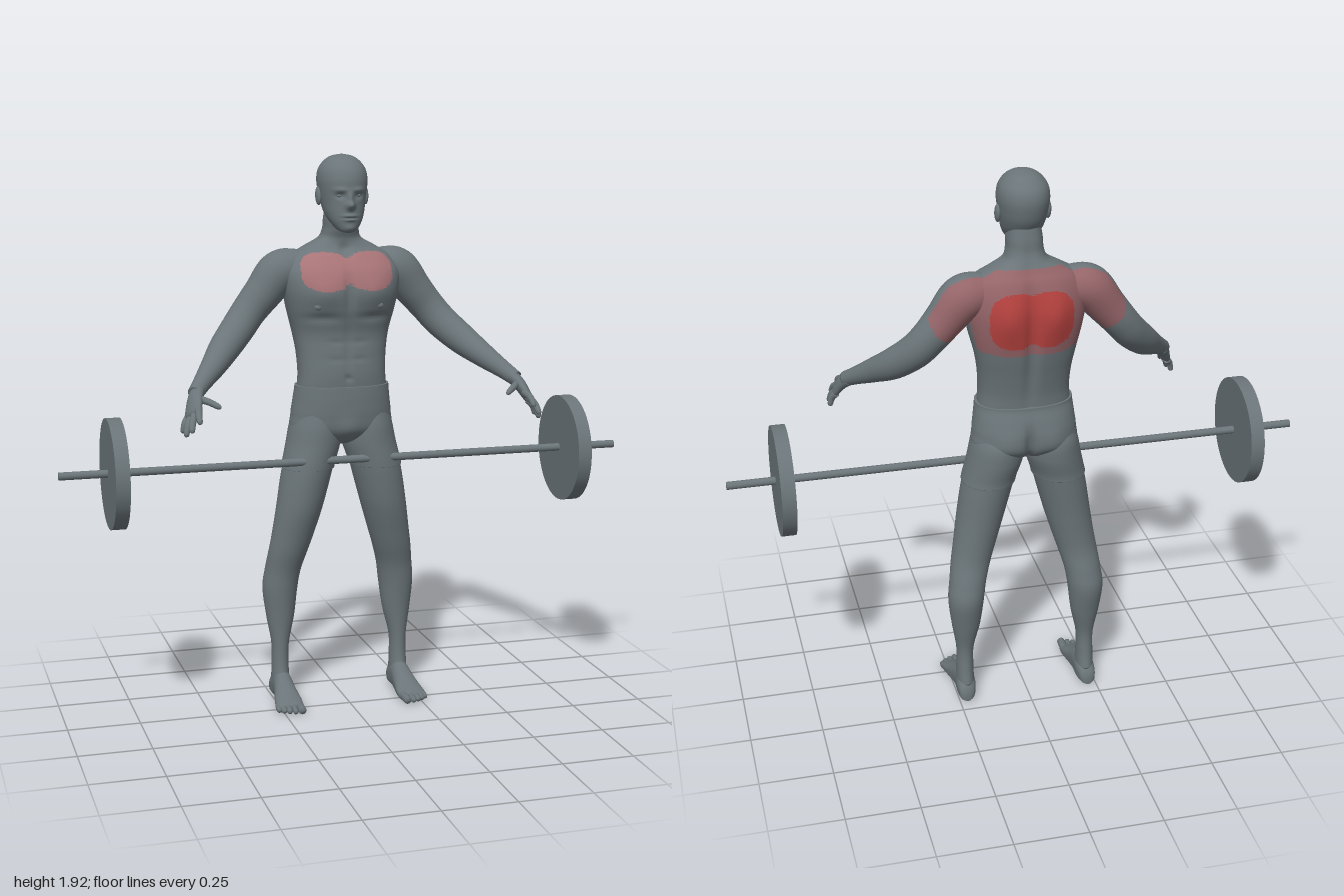
import * as THREE from 'three';

const mat = (name, color) => Object.assign(new THREE.MeshStandardMaterial({ color }), { name });
const grey = mat('slate grey', 0x6b7579);
const pink = mat('chest pink', 0xa87477);
const rose = mat('muted rose', 0x946468);
const red = mat('muscle red', 0xb5423f);
const V = (x, y, z) => new THREE.Vector3(x, y, z);
const TAU = Math.PI * 2;

// Catmull-Rom through rows of numbers, t from 0 to 1
function sample(keys, t) {
  const n = keys.length - 1, f = t * n, i = Math.min(Math.floor(f), n - 1), u = f - i;
  const k = j => keys[Math.max(0, Math.min(n, j))];
  return keys[0].map((_, c) => {
    const a = k(i - 1)[c], b = k(i)[c], d = k(i + 1)[c], e = k(i + 2)[c];
    return b + 0.5 * u * (d - a + u * (2 * a - 5 * b + 4 * d - e + u * (3 * (b - d) + e - a)));
  });
}

// closed skin over equal rings, with end caps
function skin(rings) {
  const m = rings[0].length, n = rings.length, pos = [], idx = [];
  rings.forEach(r => r.forEach(p => pos.push(p.x, p.y, p.z)));
  for (let i = 0; i < n - 1; i++) for (let j = 0; j < m; j++) {
    const a = i * m + j, b = i * m + (j + 1) % m;
    idx.push(a, b, a + m, b, b + m, a + m);
  }
  [rings[0], rings[n - 1]].forEach((r, end) => {
    const c = r.reduce((s, p) => s.add(p), V(0, 0, 0)).divideScalar(m);
    const ci = pos.length / 3, base = end ? (n - 1) * m : 0;
    pos.push(c.x, c.y, c.z);
    for (let j = 0; j < m; j++) {
      const a = base + j, b = base + (j + 1) % m;
      end ? idx.push(ci, a, b) : idx.push(ci, b, a);
    }
  });
  const g = new THREE.BufferGeometry();
  g.setAttribute('position', new THREE.Float32BufferAttribute(pos, 3));
  g.setIndex(idx);
  g.computeVertexNormals();
  return g;
}

// upright loft; rows are [y, xMin, xMax, zFront, zBack]; bumps are [x, y, sizeX, sizeY, height], mirrored in x
function loft(rows, { m = 48, n = 60, e = 1, front = [], back = [] } = {}) {
  const pw = v => Math.sign(v) * Math.abs(v) ** e, rings = [];
  for (let i = 0; i <= n; i++) {
    const [y, x0, x1, zf, zb] = sample(rows, i / n), ring = [];
    for (let j = 0; j < m; j++) {
      const a = j / m * TAU, s = -Math.sin(a);
      const x = (x0 + x1) / 2 + (x1 - x0) / 2 * pw(Math.cos(a));
      let z = (zf + zb) / 2 + (zf - zb) / 2 * pw(s);
      for (const [bx, by, sx, sy, h] of s > 0 ? front : back)
        z += Math.sign(s) * Math.min(1, Math.abs(s) * 2) * h * Math.exp(-(((Math.abs(x) - bx) / sx) ** 2) - ((y - by) / sy) ** 2);
      ring.push(V(x, y, z));
    }
    rings.push(ring);
  }
  return skin(rings);
}

// limb along a path; rows are [x, y, z, width radius, thickness radius]
function limb(rows, side, { m = 16, n = 24, ref = [0, 0, 1], round = true } = {}) {
  const rings = [], at = t => { const r = sample(rows, t); return V(r[0] * side, r[1], r[2]); };
  for (let i = 0; i <= n; i++) {
    const t = i / n, r = sample(rows, t), p = at(t);
    const T = at(Math.min(1, t + 0.01)).sub(at(Math.max(0, t - 0.01))).normalize();
    const A = V(ref[0] * side, ref[1], ref[2]);
    A.addScaledVector(T, -A.dot(T)).normalize();
    const B = T.clone().cross(A), k = round ? Math.sqrt(Math.max(0.02, 1 - Math.max(0, (t - 0.8) / 0.2) ** 2)) : 1;
    rings.push(Array.from({ length: m }, (_, j) => p.clone()
      .addScaledVector(A, r[3] * k * Math.cos(j / m * TAU))
      .addScaledVector(B, (r[4] ?? r[3]) * k * Math.sin(j / m * TAU))));
  }
  return skin(rings);
}

// sort faces into colour groups by their centre
function paint(g, pick) {
  const p = g.attributes.position, src = g.index.array, bins = [[], [], [], []];
  for (let i = 0; i < src.length; i += 3) {
    const t = [src[i], src[i + 1], src[i + 2]], c = V(0, 0, 0);
    t.forEach(k => c.add(V(p.getX(k), p.getY(k), p.getZ(k))));
    bins[pick(c.divideScalar(3))].push(...t);
  }
  g.setIndex(bins.flat());
  let start = 0;
  bins.forEach((b, i) => { if (b.length) g.addGroup(start, b.length, i); start += b.length; });
  return g;
}
const oval = (x, y, cx, cy, rx, ry, p) => Math.abs((x - cx) / rx) ** p + Math.abs((y - cy) / ry) ** p < 1;
function muscleColour({ x, y, z }) {
  const ax = Math.abs(x);
  if (z > -0.1) return oval(ax, y, 0.078, 1.533, 0.085, 0.064, 2.6) && ax < 0.16 ? 1 : 0;
  if (z < -0.19 && oval(ax, y, 0.055, 1.46, 0.085, 0.095, 2.6)) return 3;
  return z < -0.17 && oval(ax, y, 0, 1.48, 0.33, 0.145, 2.2) ? 2 : 0;
}
const muscle = [grey, pink, rose, red];
const sym = rows => rows.map(([y, w, f, b]) => [y, -w, w, f, b]);

export function createModel() {
  const model = new THREE.Group();
  const add = (name, geo, material = grey) => {
    const mesh = new THREE.Mesh(geo, material);
    mesh.name = name;
    model.add(mesh);
    return mesh;
  };
  const ball = (name, x, y, z, sx, sy, sz) => {
    const b = add(name, new THREE.SphereGeometry(1, 20, 14));
    b.position.set(x, y, z);
    b.scale.set(sx, sy, sz);
    return b;
  };

  // torso and neck
  add('torso', paint(loft(sym([
    [1.09, 0.155, -0.015, -0.2], [1.13, 0.157, -0.012, -0.203], [1.18, 0.154, -0.01, -0.207], [1.25, 0.158, -0.015, -0.22],
    [1.32, 0.17, -0.018, -0.235], [1.4, 0.19, 0.002, -0.247], [1.47, 0.203, 0.01, -0.25], [1.53, 0.203, -0.003, -0.243],
    [1.58, 0.175, -0.035, -0.23], [1.612, 0.125, -0.06, -0.212], [1.64, 0.075, -0.065, -0.198],
    [1.67, 0.061, -0.055, -0.187], [1.71, 0.058, -0.045, -0.183], [1.76, 0.05, -0.05, -0.175]]), {
    m: 128, n: 120, e: 0.82,
    front: [[0.09, 1.455, 0.06, 0.05, 0.011], [0, 1.47, 0.012, 0.07, -0.012], [0.09, 1.375, 0.06, 0.014, -0.007],
      [0, 1.27, 0.01, 0.09, -0.005], [0, 1.165, 0.009, 0.01, -0.008], [0.04, 1.23, 0.03, 0.008, -0.003],
      [0.04, 1.29, 0.03, 0.008, -0.003], [0, 1.6, 0.02, 0.02, -0.012]],
    back: [[0, 1.38, 0.02, 0.2, -0.018], [0.08, 1.47, 0.045, 0.08, 0.015]],
  }), muscleColour), muscle);

  // shorts
  add('shorts', loft(sym([
    [0.925, 0.03, -0.08, -0.14], [0.945, 0.1, -0.04, -0.19], [0.98, 0.176, -0.012, -0.225], [1.03, 0.178, -0.003, -0.232],
    [1.08, 0.172, -0.001, -0.225], [1.12, 0.167, -0.002, -0.213], [1.135, 0.166, -0.003, -0.211]]), {
    m: 96, n: 50, e: 0.88, front: [[0, 0.985, 0.035, 0.04, 0.008]],
    back: [[0.08, 1.0, 0.05, 0.06, 0.01], [0, 0.99, 0.014, 0.07, -0.026]],
  }));

  // head with modelled face
  add('head', loft(sym([
    [1.664, 0.012, -0.01, -0.04], [1.672, 0.032, 0.002, -0.07], [1.7, 0.054, 0.008, -0.12], [1.73, 0.067, 0.008, -0.16],
    [1.765, 0.075, 0.006, -0.187], [1.8, 0.081, 0.007, -0.2], [1.84, 0.085, 0.006, -0.206], [1.875, 0.079, -0.006, -0.198],
    [1.902, 0.06, -0.03, -0.175], [1.918, 0.036, -0.06, -0.148], [1.925, 0.004, -0.098, -0.106]]), {
    m: 112, n: 110, e: 0.95,
    front: [[0, 1.757, 0.014, 0.014, 0.026], [0, 1.783, 0.01, 0.018, 0.012], [0.032, 1.808, 0.022, 0.008, 0.006],
      [0.032, 1.788, 0.015, 0.01, -0.008], [0, 1.722, 0.022, 0.005, 0.007], [0, 1.708, 0.018, 0.005, 0.006],
      [0, 1.714, 0.022, 0.002, -0.004], [0, 1.68, 0.02, 0.01, 0.004]],
  }));

  const legRows = [
    [0.06, 0.188, 0.252, -0.085, -0.192], [0.12, 0.19, 0.25, -0.1, -0.182], [0.2, 0.188, 0.25, -0.104, -0.18],
    [0.3, 0.166, 0.266, -0.1, -0.202], [0.4, 0.153, 0.277, -0.09, -0.221], [0.47, 0.142, 0.27, -0.08, -0.212],
    [0.54, 0.122, 0.26, -0.06, -0.197], [0.6, 0.103, 0.25, -0.045, -0.194], [0.7, 0.073, 0.235, -0.022, -0.198],
    [0.8, 0.046, 0.22, -0.012, -0.206], [0.87, 0.028, 0.206, -0.01, -0.212], [0.93, 0.01, 0.192, -0.012, -0.222],
    [0.99, 0.008, 0.18, -0.015, -0.222], [1.04, 0.02, 0.165, -0.025, -0.2]];

  for (const s of [1, -1]) {
    const tag = s > 0 ? 'left' : 'right';
    const mirror = rows => rows.map(([y, a, b, f, k]) => s > 0 ? [y, a, b, f, k] : [y, -b, -a, f, k]);

    // leg, shorts leg and foot
    add(tag + 'Leg', loft(mirror(legRows), { n: 100 }));
    add(tag + 'ShortsLeg', loft(mirror([[0.845, 0.03, 0.216, -0.006, -0.214],
      ...legRows.slice(10).map(([y, a, b, f, k]) => [y, a - 0.004, b + 0.004, f + 0.004, k - 0.004])])));
    const foot = [[-0.202, 0.222, 0.01, 0.03], [-0.192, 0.222, 0.026, 0.06], [-0.16, 0.22, 0.034, 0.09], [-0.11, 0.219, 0.034, 0.105],
      [-0.06, 0.221, 0.04, 0.078], [-0.01, 0.223, 0.048, 0.05], [0.025, 0.226, 0.05, 0.032], [0.04, 0.226, 0.046, 0.022]];
    add(tag + 'Foot', skin(Array.from({ length: 31 }, (_, i) => {
      const [z, cx, w, h] = sample(foot, i / 30);
      return Array.from({ length: 32 }, (_, j) => {
        const a = j / 32 * TAU, sn = Math.sin(a);
        return V(s * cx + w * Math.cos(a), h / 2 + h / 2 * Math.sign(sn) * Math.abs(sn) ** (sn < 0 ? 0.5 : 1), z);
      });
    })));
    for (let i = 0; i < 5; i++) {
      const x = [0.19, 0.213, 0.232, 0.249, 0.264][i], tip = [0.08, 0.078, 0.07, 0.06, 0.047][i], r = i ? 0.0095 : 0.014;
      add(tag + 'Toe', limb([[x, 0.016, 0.01, r], [x + 0.002, 0.016, tip - 0.025, r], [x + 0.003, r, tip, r]], s, { n: 12, ref: [1, 0, 0] }));
    }

    // arm and hand
    add(tag + 'Arm', paint(limb([
      [0.12, 1.535, -0.14, 0.055], [0.165, 1.535, -0.142, 0.07], [0.215, 1.52, -0.145, 0.075], [0.27, 1.455, -0.143, 0.066],
      [0.32, 1.395, -0.138, 0.06], [0.365, 1.34, -0.115, 0.058], [0.425, 1.28, -0.06, 0.053], [0.48, 1.23, 0.012, 0.042],
      [0.53, 1.188, 0.075, 0.031], [0.562, 1.16, 0.118, 0.026]], s, { m: 48, n: 70, round: false }), muscleColour), muscle);
    add(tag + 'Palm', limb([[0.55, 1.17, 0.1, 0.027, 0.023], [0.567, 1.145, 0.138, 0.034, 0.021], [0.578, 1.118, 0.168, 0.041, 0.018],
      [0.587, 1.095, 0.19, 0.04, 0.014]], s, { m: 24, ref: [0.04, -0.045, -0.07] }));
    [[[0.565, 1.125, 0.19], [0.575, 1.085, 0.262]], [[0.578, 1.107, 0.19], [0.6, 1.055, 0.25]],
      [[0.588, 1.092, 0.175], [0.613, 1.036, 0.215]], [[0.594, 1.09, 0.155], [0.615, 1.04, 0.168]],
      [[0.56, 1.148, 0.14], [0.495, 1.125, 0.212]]].forEach(([a, b], i) => {
      const mid = a.map((v, k) => (v + b[k]) / 2 + [0.003, 0.006, 0.004][k]);
      add(tag + (i < 4 ? 'Finger' : 'Thumb'), limb([[...a, 0.013], [...mid, 0.0115], [...b, 0.009]], s, { m: 12, n: 14, ref: [1, 0.2, 0] }));
    });

    // ears, eyes and nipples
    ball(tag + 'Ear', s * 0.083, 1.785, -0.1, 0.01, 0.032, 0.02).rotation.x = -0.2;
    ball(tag + 'Eye', s * 0.031, 1.789, -0.017, 0.013, 0.0075, 0.012);
    ball(tag + 'Nipple', s * 0.108, 1.415, -0.008, 0.014, 0.011, 0.008);

    // barbell plate
    const plate = add(tag + 'WeightPlate', new THREE.CylinderGeometry(0.188, 0.188, 0.048, 64));
    plate.rotation.z = Math.PI / 2;
    plate.position.set(s * 0.812, 0.876, -0.028);
  }

  // barbell bar
  const bar = add('barbellBar', new THREE.CylinderGeometry(0.0135, 0.0135, 2, 24));
  bar.rotation.z = Math.PI / 2;
  bar.position.set(0, 0.878, -0.028);
  return model;
}
